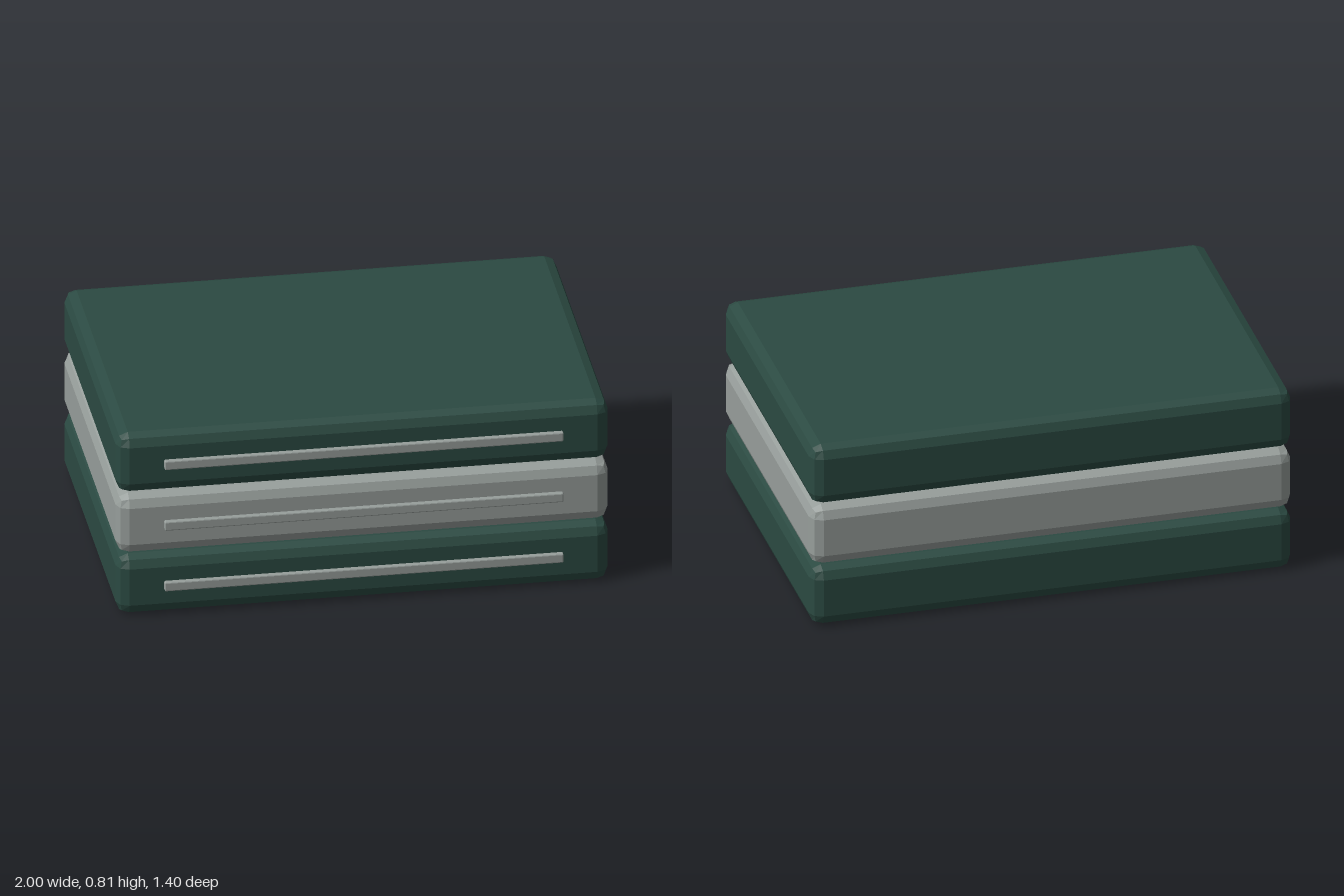
import * as THREE from 'three';
import { RoundedBoxGeometry } from 'three/addons/geometries/RoundedBoxGeometry.js';

const HEIGHT = 0.262; // thickness of one slab
const PITCH = 0.272;  // spacing between slabs, leaving a thin gap

export function createModel() {
  const model = new THREE.Group();
  const green = new THREE.MeshStandardMaterial({ color: 0x2b4a42, flatShading: true });
  const grey = new THREE.MeshStandardMaterial({ color: 0x979e9b, flatShading: true });

  // slab with a two-step bevel, and a slim strip let into its front
  const slabGeometry = new RoundedBoxGeometry(2, HEIGHT, 1.38, 1, 0.05);
  const stripGeometry = new RoundedBoxGeometry(1.62, 0.04, 0.04, 1, 0.005);

  const layers = [
    { name: 'bottom', material: green },
    { name: 'middle', material: grey },
    { name: 'top', material: green },
  ];

  layers.forEach(({ name, material }, i) => {
    const layer = new THREE.Group();
    layer.name = `${name}Layer`;
    layer.position.y = HEIGHT / 2 + i * PITCH;

    const slab = new THREE.Mesh(slabGeometry, material);
    slab.name = `${name}Slab`;
    slab.position.z = -0.01;

    const strip = new THREE.Mesh(stripGeometry, grey);
    strip.name = `${name}FrontStrip`;
    strip.position.z = 0.68;

    layer.add(slab, strip);
    model.add(layer);
  });

  return model;
}
